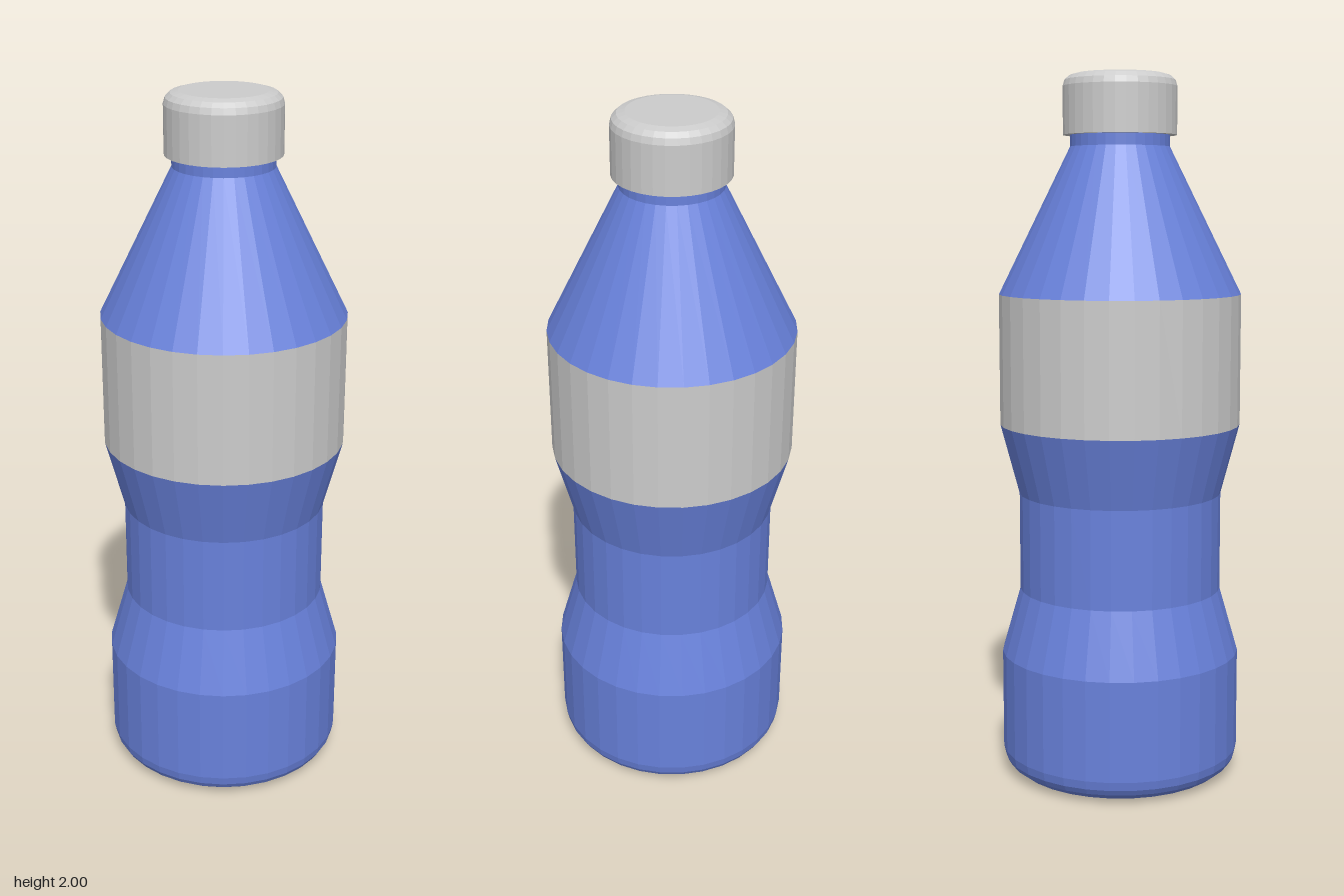
import * as THREE from 'three';

const SIDES = 32;

// Faceted surface of revolution from [radius, height] pairs, bottom to top
function turned(name, profile, color) {
  const points = profile.map(([r, y]) => new THREE.Vector2(r, y));
  const material = new THREE.MeshStandardMaterial({ color, flatShading: true, side: THREE.DoubleSide });
  const mesh = new THREE.Mesh(new THREE.LatheGeometry(points, SIDES), material);
  mesh.name = name;
  return mesh;
}

export function createModel() {
  const bottle = new THREE.Group();
  bottle.name = 'bottle';
  const blue = 0x6881db, grey = 0xcccccc;

  // Rounded base, narrowed grip and flare up to the label
  bottle.add(turned('lowerBody', [
    [0, 0], [0.275, 0], [0.305, 0.01], [0.328, 0.028], [0.338, 0.045], [0.343, 0.07],
    [0.343, 0.355], [0.29, 0.54], [0.29, 0.82], [0.343, 1.02],
  ], blue));

  // Label band
  bottle.add(turned('label', [[0.343, 1.02], [0.343, 1.39]], grey));

  // Conical shoulder and short neck
  bottle.add(turned('shoulder', [[0.343, 1.39], [0.14, 1.8], [0.14, 1.84]], blue));

  // Screw cap with an underside rim and bevelled top edge
  bottle.add(turned('cap', [
    [0.13, 1.832], [0.16, 1.832], [0.16, 1.965], [0.155, 1.982], [0.142, 1.994], [0.12, 2], [0, 2],
  ], grey));

  return bottle;
}
